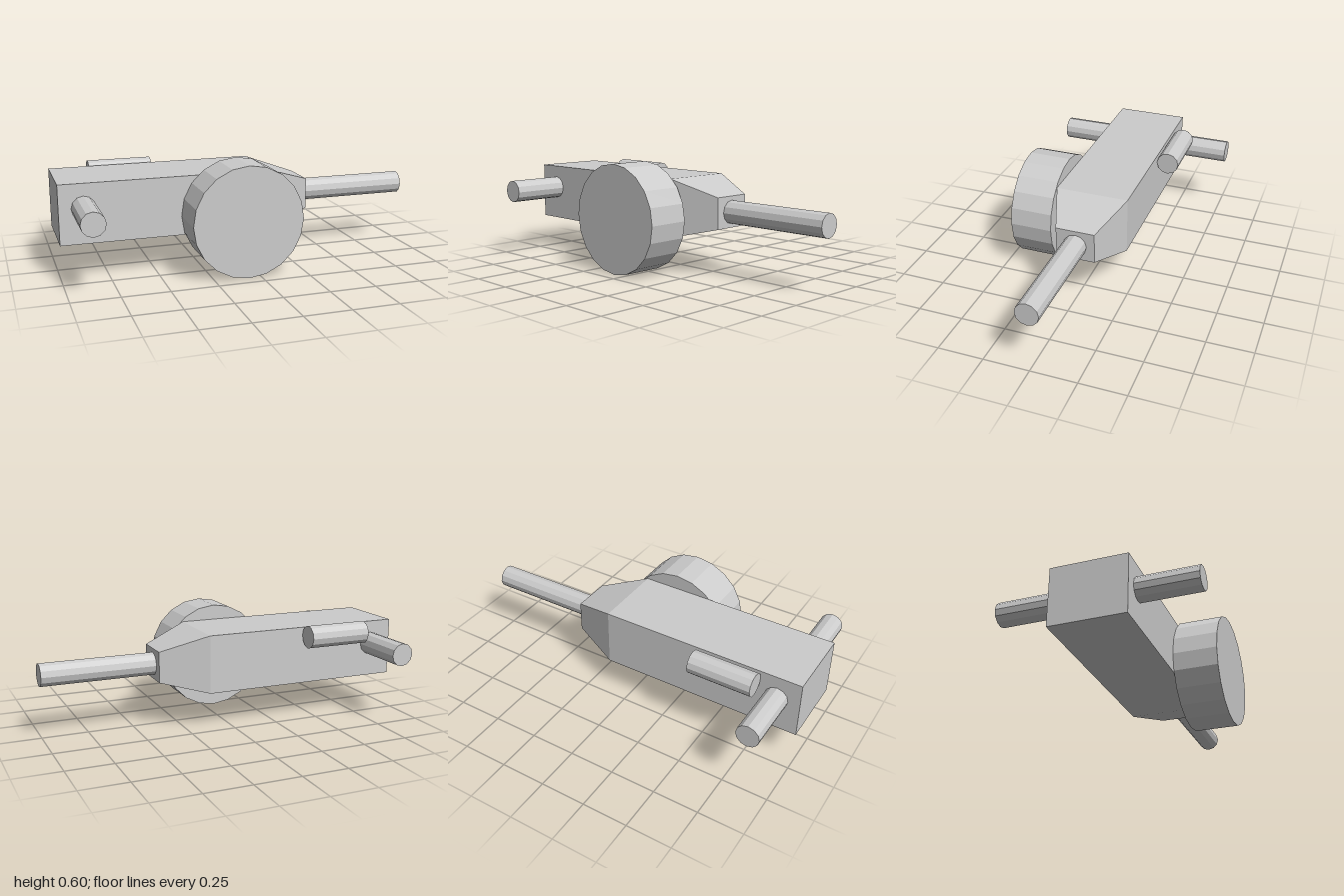
import * as THREE from 'three';

export function createModel() {
  const model = new THREE.Group();
  const grey = new THREE.MeshStandardMaterial({ color: 0xcccccc, flatShading: true });
  grey.name = 'plain grey';

  const add = (name, geometry) => {
    const mesh = new THREE.Mesh(geometry, grey);
    mesh.name = name;
    model.add(mesh);
    return mesh;
  };

  // Faceted rod centred at (x, y, z), lying along the x or z axis
  const rod = (name, axis, radius, length, sides, x, y, z) => {
    const geometry = new THREE.CylinderGeometry(radius, radius, length, sides);
    if (axis === 'x') geometry.rotateZ(-Math.PI / 2);
    else geometry.rotateX(Math.PI / 2);
    add(name, geometry).position.set(x, y, z);
  };

  // Body: a box with a middle ring, whose front end narrows to a blunt nose
  const body = new THREE.BoxGeometry(2, 2, 2, 2, 1, 1);
  const sections = [
    { x: -1, bottom: 0.195, top: 0.513, halfWidth: 0.202 },
    { x: 0.125, bottom: 0.195, top: 0.513, halfWidth: 0.202 },
    { x: 0.38, bottom: 0.258, top: 0.427, halfWidth: 0.107 },
  ];
  const p = body.attributes.position;
  for (let i = 0; i < p.count; i++) {
    const s = sections[Math.round(p.getX(i)) + 1];
    p.setXYZ(i, s.x, p.getY(i) > 0 ? s.top : s.bottom, p.getZ(i) * s.halfWidth);
  }
  body.computeVertexNormals();
  add('body', body);

  // Barrel out of the nose
  rod('barrel', 'x', 0.063, 0.62, 12, 0.69, 0.342, 0);

  // Large drum on the front side
  rod('drum', 'z', 0.298, 0.235, 20, -0.066, 0.298, 0.3195);

  // Short tube along the back side
  rod('sideTube', 'x', 0.063, 0.35, 12, -0.605, 0.469, -0.264);

  // Handle pegs on both sides near the tail
  for (const side of [1, -1]) {
    rod(side > 0 ? 'frontPeg' : 'backPeg', 'z', 0.063, 0.322, 12, -0.873, 0.384, side * 0.361);
  }

  return model;
}
